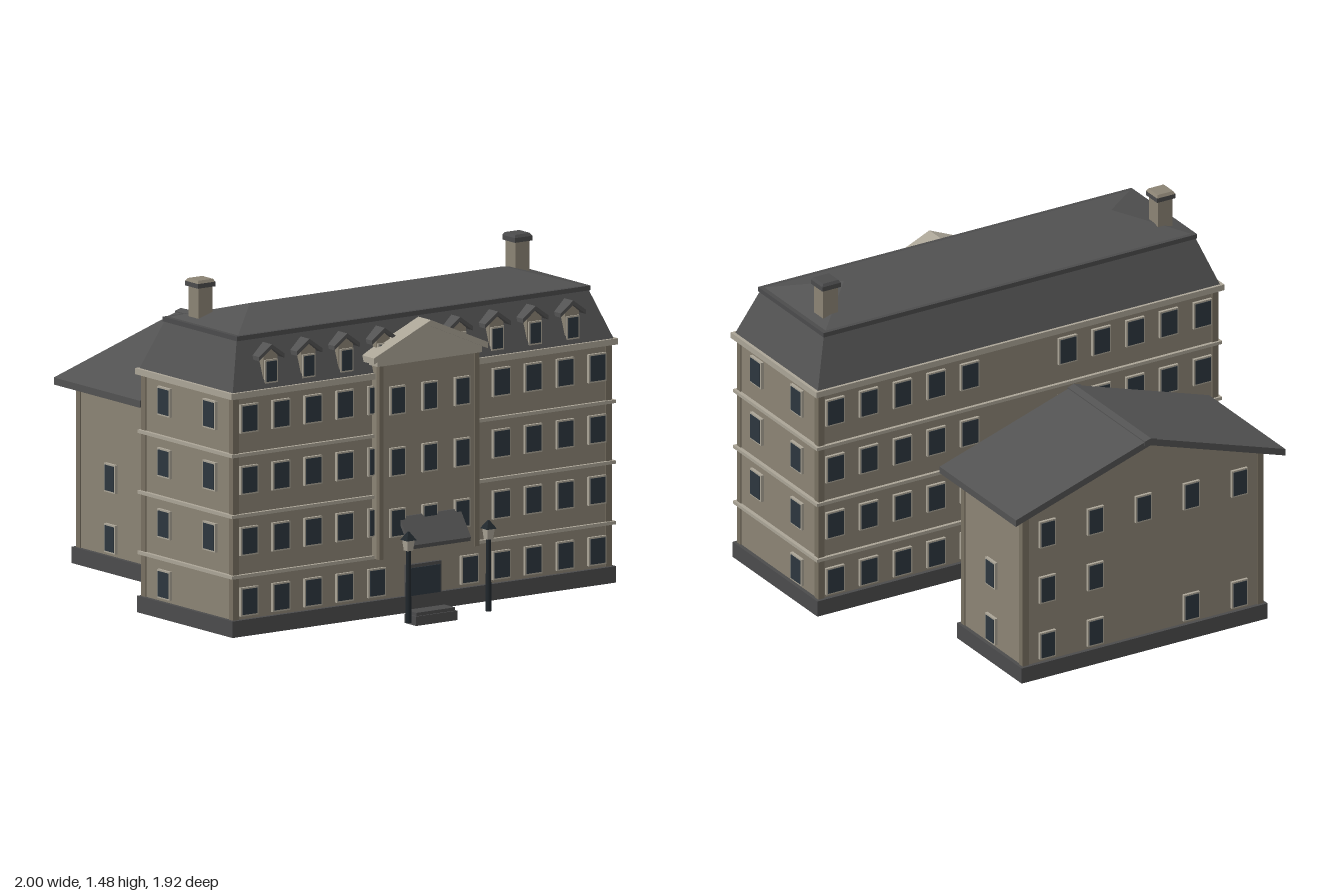
import * as THREE from 'three';

const mat = (name, color, side = THREE.FrontSide) => {
  const m = new THREE.MeshStandardMaterial({ color, side });
  m.name = name;
  return m;
};

export function createModel() {
  const M = {
    wall: mat('stone wall', 0x8b8374),
    corner: mat('dark stone', 0x787061),
    trim: mat('pale stone', 0xaaa496),
    roof: mat('roof slate', 0x525252),
    plinth: mat('plinth grey', 0x4b4b4c),
    glass: mat('window glass', 0x2c363e),
    metal: mat('dark metal', 0x21282d),
    ivy: mat('ivy green', 0x4c6b2e),
  };
  const root = new THREE.Group();
  root.name = 'mansardBuilding';

  const group = (name, parent = root) => {
    const g = new THREE.Group();
    g.name = name;
    parent.add(g);
    return g;
  };
  const add = (parent, name, geo, material, x = 0, y = 0, z = 0) => {
    const m = new THREE.Mesh(geo, material);
    m.name = name;
    m.position.set(x, y, z);
    parent.add(m);
    return m;
  };
  // Box given by its limits on each axis
  const box = (parent, name, material, x0, x1, y0, y1, z0, z1) =>
    add(parent, name, new THREE.BoxGeometry(x1 - x0, y1 - y0, z1 - z0), material,
      (x0 + x1) / 2, (y0 + y1) / 2, (z0 + z1) / 2);
  // Box whose top is scaled to its own width and depth
  const taper = (w, d, h, tw, td) => {
    const g = new THREE.BoxGeometry(w, h, d).toNonIndexed();
    const p = g.attributes.position;
    for (let i = 0; i < p.count; i++) {
      if (p.getY(i) > 0) p.setXYZ(i, Math.sign(p.getX(i)) * tw / 2, h / 2, Math.sign(p.getZ(i)) * td / 2);
    }
    g.computeVertexNormals();
    return g;
  };
  // Outline in x and y pushed along z
  const prism = (points, depth) => new THREE.ExtrudeGeometry(
    new THREE.Shape(points.map(p => new THREE.Vector2(...p))), { depth, bevelEnabled: false });
  // Chevron-shaped roof with sloping sides of even thickness
  const gable = (half, eave, ridge, t, depth) => prism(
    [[-half, eave], [0, ridge - t], [half, eave], [half, eave + t], [0, ridge], [-half, eave + t]], depth);
  // Hollow rectangular frame lying flat
  const ring = (w, d, t, h) => {
    const rect = (C, a, b) => new C([[-a, -b], [a, -b], [a, b], [-a, b]].map(p => new THREE.Vector2(...p)));
    const s = rect(THREE.Shape, w / 2, d / 2);
    s.holes.push(rect(THREE.Path, w / 2 - t, d / 2 - t));
    return new THREE.ExtrudeGeometry(s, { depth: h, bevelEnabled: false }).rotateX(-Math.PI / 2);
  };
  // Framed window on a wall; turn is the direction it faces
  const win = (parent, x, y, z, turn = 0, w = 0.09, h = 0.122) => {
    const g = group('window', parent);
    g.position.set(x, y, z);
    g.rotation.y = turn;
    box(g, 'windowFrame', M.trim, -w / 2, w / 2, -h / 2, h / 2, -0.01, 0.013);
    box(g, 'windowGlass', M.glass, -w / 2 + 0.007, w / 2 - 0.007, -h / 2 + 0.007, h / 2 - 0.007, 0.01, 0.016);
  };
  // Plinth, floor, walls and corner strips shared by both buildings
  const shell = (g, hx, z0, z1, top) => {
    const zc = (z0 + z1) / 2, d = z1 - z0;
    add(g, 'plinth', ring(2 * hx + 0.035, d + 0.035, 0.018, 0.07), M.plinth, 0, 0.04, zc);
    add(g, 'wallFoot', ring(2 * hx, d, 0.012, 0.065), M.wall, 0, 0.041, zc);
    box(g, 'floor', M.plinth, -hx + 0.005, hx - 0.005, 0.1, 0.109, z0 + 0.005, z1 - 0.005);
    box(g, 'walls', M.wall, -hx, hx, 0.105, top, z0, z1);
    for (const sx of [-1, 1]) for (const z of [z0 + 0.01, z1 - 0.01]) {
      add(g, 'cornerStrip', new THREE.BoxGeometry(0.03, top - 0.105, 0.03), M.corner,
        sx * (hx - 0.01), (top + 0.105) / 2, z);
    }
  };

  const floors = [0.185, 0.443, 0.703, 0.965];
  const BACK = Math.PI, SIDE = Math.PI / 2;

  // Main building
  const main = group('mainBuilding');
  const Z0 = 0.105, Z1 = 0.747, ZC = 0.426;
  shell(main, 0.975, Z0, Z1, 1.06);
  for (const y of [0.295, 0.553, 0.812]) {
    add(main, 'floorBand', new THREE.BoxGeometry(1.985, 0.014, 0.672), M.trim, 0, y, ZC);
  }
  add(main, 'cornice', new THREE.BoxGeometry(2, 0.026, 0.685), M.trim, 0, 1.068, ZC);

  floors.forEach((y, i) => {
    for (const s of [-1, 1]) {
      for (const x of [0.9, 0.735, 0.57, 0.405, 0.24]) {
        win(main, s * x, y, Z1);
        win(main, s * x, y, Z0, BACK);
      }
      win(main, s * 0.975, y, 0.268, s * SIDE);
      if (i > 0) win(main, s * 0.975, y, 0.59, s * SIDE);
    }
  });
  box(main, 'ivy', M.ivy, -0.31, -0.16, 0.43, 0.6, Z0 - 0.008, Z0);

  // Mansard roof with flat trim and low hipped top
  add(main, 'mansardRoof', taper(1.97, 0.66, 0.205, 1.82, 0.51), M.roof, 0, 1.183, ZC);
  add(main, 'roofTrim', new THREE.BoxGeometry(1.83, 0.02, 0.525), M.plinth, 0, 1.293, ZC);
  add(main, 'hippedTop', taper(1.79, 0.49, 0.07, 1.31, 0), M.roof, 0, 1.338, ZC);

  // Chimneys
  for (const s of [-1, 1]) {
    const c = group('chimney', main);
    c.position.set(s * 0.82, 0, 0.3);
    box(c, 'chimneyStack', M.wall, -0.036, 0.036, 1.27, 1.45, -0.036, 0.036);
    add(c, 'chimneyCap', new THREE.BoxGeometry(0.09, 0.02, 0.09), M.plinth, 0, 1.455, 0);
    add(c, 'chimneyTop', taper(0.09, 0.09, 0.012, 0.075, 0.075), s < 0 ? M.wall : M.plinth, 0, 1.471, 0);
  }

  // Dormers along the front
  for (let i = -4; i <= 4; i++) {
    const d = group('dormer', main);
    d.position.x = i * 0.195;
    add(d, 'dormerBody', prism([[-0.037, 1.095], [0.037, 1.095], [0.037, 1.215], [0, 1.245], [-0.037, 1.215]], 0.09),
      M.wall, 0, 0, 0.652);
    add(d, 'dormerRoof', gable(0.066, 1.2, 1.265, 0.018, 0.1), M.roof, 0, 0, 0.652);
    win(d, 0, 1.15, 0.737, 0, 0.066, 0.1);
  }

  // Projecting centre bay and pediment
  const bay = group('centreBay');
  box(bay, 'bayWall', M.wall, -0.257, 0.257, 0.29, 1.12, 0.73, 0.795);
  for (const s of [-1, 1]) {
    add(bay, 'bayStrip', new THREE.BoxGeometry(0.022, 0.83, 0.02), M.corner, s * 0.248, 0.705, 0.79);
  }
  for (const y of floors.slice(1)) for (const x of [-0.167, 0, 0.167]) win(bay, x, y - 0.003, 0.795, 0, 0.078, 0.122);
  add(bay, 'pediment', prism([[-0.27, 1.115], [0.27, 1.115], [0.27, 1.15], [0, 1.265], [-0.27, 1.15]], 0.075),
    M.trim, 0, 0, 0.728);
  add(bay, 'pedimentCornice', gable(0.295, 1.13, 1.285, 0.026, 0.09), M.trim, 0, 0, 0.722);

  // Entrance: door, sloping canopy and steps
  const entrance = group('entrance');
  box(entrance, 'doorFrame', M.plinth, -0.09, 0.09, 0.1, 0.242, 0.74, 0.764);
  box(entrance, 'doorGlass', M.glass, -0.08, 0.08, 0.11, 0.228, 0.761, 0.769);
  const slope = prism([[0.79, 0.455], [0.875, 0.335], [0.88, 0.352], [0.803, 0.462], [0.79, 0.462]].map(([z, y]) => [-z, y]), 0.314);
  slope.rotateY(SIDE);
  add(entrance, 'canopy', slope, M.roof, -0.157, 0, 0);
  box(entrance, 'lowerStep', M.plinth, -0.107, 0.107, 0, 0.04, 0.77, 0.852);
  box(entrance, 'upperStep', M.plinth, -0.1, 0.1, 0.04, 0.054, 0.77, 0.845);

  // Lamp posts
  for (const s of [-1, 1]) {
    const l = group('lampPost');
    l.position.set(s * 0.207, 0, 0.935);
    add(l, 'post', new THREE.CylinderGeometry(0.01, 0.013, 0.31, 8), M.metal, 0, 0.195, 0);
    add(l, 'lantern', taper(0.028, 0.028, 0.045, 0.038, 0.038), M.trim, 0, 0.37, 0);
    add(l, 'lanternRoof', taper(0.05, 0.05, 0.035, 0.006, 0.006), M.metal, 0, 0.41, 0);
  }

  // Rear annex
  const annex = group('annex');
  const A0 = -0.892, A1 = -0.408, AX = 0.585;
  shell(annex, AX, A0, A1, 0.82);
  add(annex, 'gableWalls', prism([[-AX, 0.815], [AX, 0.815], [AX, 0.83], [0, 1.02], [-AX, 0.83]], A1 - A0),
    M.wall, 0, 0, A0);
  add(annex, 'annexRoof', gable(0.66, 0.8, 1.043, 0.03, 0.61), M.roof, 0, 0, -0.957);
  add(annex, 'ridgeCap', gable(0.03, 1.018, 1.047, 0.02, 0.618), M.roof, 0, 0, -0.961);
  const rows = [[0.185, [0.47, 0.235, -0.235, -0.47]], [0.443, [0.47, 0.235]], [0.7, [0.47, 0.235, 0, -0.235, -0.47]]];
  for (const [y, xs] of rows) for (const x of xs) {
    win(annex, x, y, A0, BACK, 0.078);
    win(annex, x, y, A1, 0, 0.078);
  }
  for (const s of [-1, 1]) for (const y of floors.slice(0, 2)) win(annex, s * AX, y, -0.648, s * SIDE, 0.078);
  box(annex, 'ivy', M.ivy, -0.17, 0.15, 0.25, 0.58, A1, A1 + 0.009);

  return root;
}
